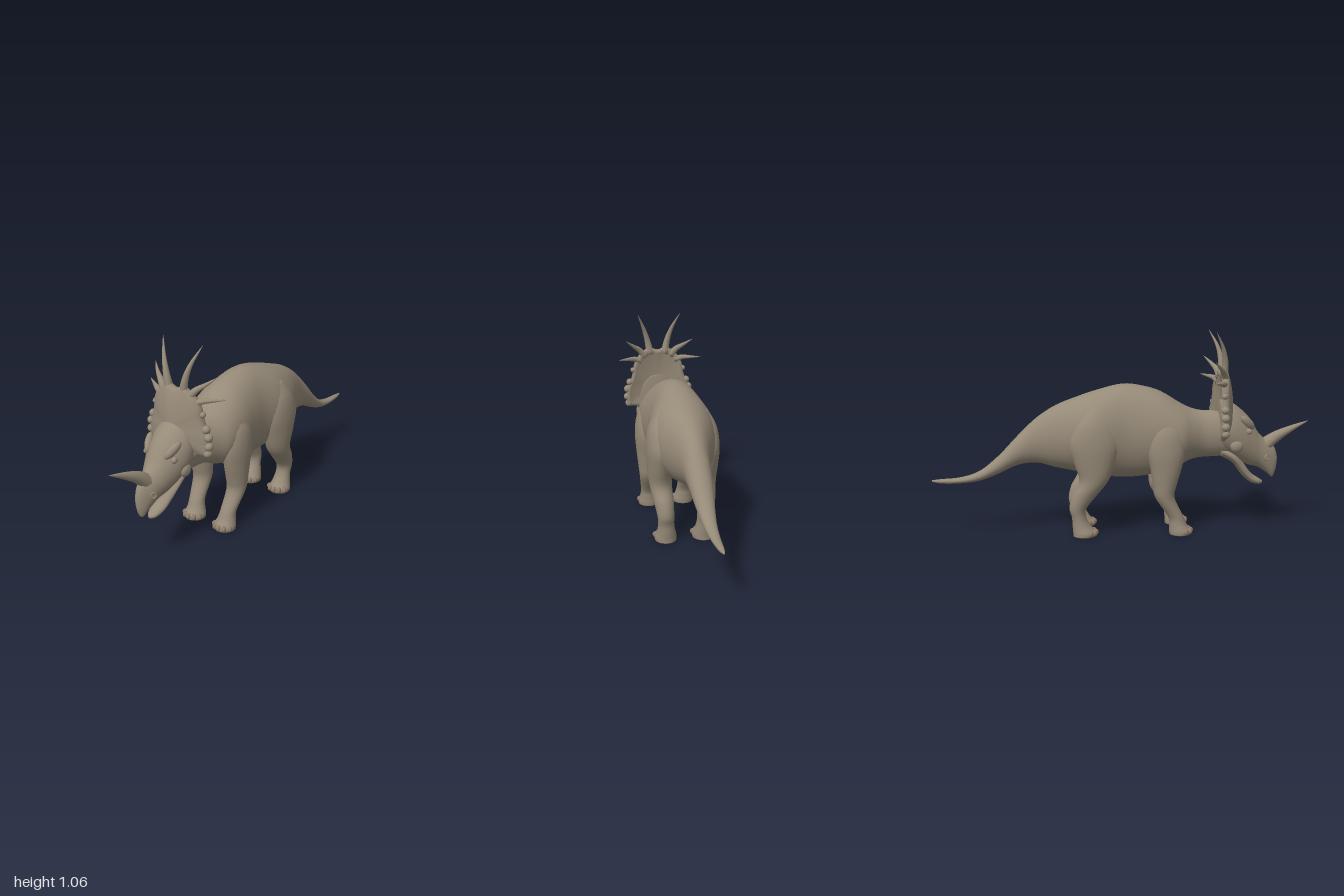
import * as THREE from 'three';

const hide = new THREE.MeshStandardMaterial({ color: 0x968a78 });
const clawMat = new THREE.MeshStandardMaterial({ color: 0x8c7969 });

// Catmull-Rom smoothing of a table of cross-sections
function refine(rows, steps) {
  const out = [];
  const at = i => rows[Math.max(0, Math.min(rows.length - 1, i))];
  for (let i = 0; i < rows.length - 1; i++) {
    for (let k = 0; k < steps; k++) {
      const t = k / steps;
      out.push(rows[0].map((_, c) => {
        const [a, b, d, e] = [at(i - 1)[c], at(i)[c], at(i + 1)[c], at(i + 2)[c]];
        return b + 0.5 * t * (d - a + t * (2 * a - 5 * b + 4 * d - e + t * (3 * (b - d) + e - a)));
      }));
    }
  }
  out.push(rows[rows.length - 1]);
  return out;
}

// Closed smooth skin over rings of points, with both ends capped
function skin(rings) {
  const n = rings[0].length, pos = [], idx = [];
  rings.forEach(r => r.forEach(p => pos.push(p.x, p.y, p.z)));
  for (let i = 0; i < rings.length - 1; i++) {
    for (let j = 0; j < n; j++) {
      const a = i * n + j, b = i * n + (j + 1) % n;
      idx.push(a, b, b + n, a, b + n, a + n);
    }
  }
  [0, rings.length - 1].forEach((ri, end) => {
    const c = rings[ri].reduce((s, p) => s.add(p), new THREE.Vector3()).divideScalar(n);
    const ci = pos.length / 3;
    pos.push(c.x, c.y, c.z);
    for (let j = 0; j < n; j++) {
      const a = ri * n + j, b = ri * n + (j + 1) % n;
      if (end) idx.push(a, b, ci); else idx.push(b, a, ci);
    }
  });
  const g = new THREE.BufferGeometry();
  g.setAttribute('position', new THREE.Float32BufferAttribute(pos, 3));
  g.setIndex(idx);
  g.computeVertexNormals();
  return g;
}

const ring = (n, f) => Array.from({ length: n }, (_, j) => f(j / n * Math.PI * 2));

// Rows of [z, top, bottom, half width]
const loftZ = rows => skin(refine(rows, 4).map(([z, top, bot, w]) =>
  ring(28, a => new THREE.Vector3(w * Math.cos(a), (top + bot) / 2 + (top - bot) / 2 * Math.sin(a), z))));

// Rows of [y, x, z, radius x, radius z], rising
const loftY = (rows, side) => skin(refine(rows, 4).map(([y, x, z, rx, rz]) =>
  ring(20, a => new THREE.Vector3(side * x + rx * Math.sin(a), y, z + rz * Math.cos(a)))));

// Curved horn tapering to a point
function horn(points, r) {
  const curve = new THREE.CatmullRomCurve3(points.map(p => new THREE.Vector3(...p)));
  const n = 12, f = curve.computeFrenetFrames(n);
  return skin(Array.from({ length: n + 1 }, (_, i) => {
    const c = curve.getPointAt(i / n), rad = r * Math.pow(1 - i / n, 0.9) + 0.0008;
    return ring(10, a => c.clone()
      .addScaledVector(f.normals[i], rad * Math.cos(a))
      .addScaledVector(f.binormals[i], rad * Math.sin(a)));
  }));
}

export function createModel() {
  const model = new THREE.Group();
  const add = (name, geo, mat = hide) => {
    const m = new THREE.Mesh(geo, mat);
    m.name = name;
    model.add(m);
    return m;
  };
  const blob = (name, p, s, mat) => {
    const m = add(name, new THREE.SphereGeometry(1, 14, 10), mat);
    m.position.set(...p);
    m.scale.set(...s);
    return m;
  };

  // Tail, trunk and neck in one skin
  add('body', loftZ([
    [-1, 0.289, 0.28, 0.004], [-0.95, 0.294, 0.27, 0.014], [-0.85, 0.302, 0.27, 0.023],
    [-0.75, 0.335, 0.283, 0.032], [-0.65, 0.415, 0.32, 0.046], [-0.55, 0.52, 0.365, 0.06],
    [-0.45, 0.615, 0.375, 0.074], [-0.35, 0.68, 0.35, 0.11], [-0.25, 0.72, 0.33, 0.15],
    [-0.13, 0.76, 0.305, 0.172], [0, 0.79, 0.292, 0.15], [0.1, 0.78, 0.296, 0.154],
    [0.2, 0.75, 0.315, 0.163], [0.3, 0.69, 0.35, 0.158], [0.36, 0.66, 0.38, 0.122],
    [0.42, 0.645, 0.392, 0.092], [0.5, 0.64, 0.395, 0.085], [0.56, 0.62, 0.4, 0.08]]));

  // Skull with hooked beak, and open lower jaw
  add('skull', loftZ([
    [0.51, 0.7, 0.44, 0.1], [0.57, 0.69, 0.405, 0.115], [0.63, 0.65, 0.37, 0.104],
    [0.68, 0.6, 0.345, 0.084], [0.73, 0.52, 0.332, 0.062], [0.78, 0.475, 0.3, 0.046],
    [0.81, 0.455, 0.275, 0.032], [0.828, 0.42, 0.31, 0.018], [0.835, 0.39, 0.35, 0.006]]));
  add('lowerJaw', loftZ([
    [0.52, 0.46, 0.4, 0.06], [0.59, 0.43, 0.36, 0.07], [0.64, 0.375, 0.295, 0.055],
    [0.69, 0.305, 0.25, 0.04], [0.735, 0.272, 0.237, 0.027], [0.757, 0.257, 0.242, 0.01]]));
  add('noseHorn', horn([[0, 0.43, 0.745], [0, 0.485, 0.81], [0, 0.53, 0.89], [0, 0.58, 1]], 0.042));

  // Dished frill: outline scaled about its middle, back face then front face
  const half = [[0.09, 0.49], [0.13, 0.52], [0.18, 0.53], [0.186, 0.58], [0.18, 0.63],
    [0.162, 0.67], [0.147, 0.72], [0.14, 0.765], [0.117, 0.81], [0.09, 0.835], [0.05, 0.862]];
  const outline = new THREE.CatmullRomCurve3(
    [[0, 0.47], ...half, [0, 0.846], ...half.map(([x, y]) => [-x, y]).reverse()]
      .map(([x, y]) => new THREE.Vector3(x, y, 0)), true).getPoints(96).slice(0, 96);
  const steps = [0.02, 0.3, 0.55, 0.75, 0.88, 0.96];
  const frillRing = (t, offset) => outline.map(p => {
    const x = p.x * t, y = 0.66 + (p.y - 0.66) * t;
    return new THREE.Vector3(x, y, 0.533 - 0.7 * x * x + offset);
  });
  add('frill', skin([
    ...steps.map(t => frillRing(t, 0.002 - 0.02 * t * t)),
    frillRing(1, 0),
    ...steps.map(t => frillRing(t, 0.014 + 0.04 * (1 - t * t))).reverse()]));

  for (const s of [1, -1]) {
    const side = s > 0 ? 'left' : 'right';
    const flip = pts => pts.map(([x, y, z]) => [s * x, y, z]);

    // Frill spikes, longest at the top
    add(side + 'UpperSpike', horn(flip([[0.042, 0.82, 0.53], [0.055, 0.89, 0.533], [0.08, 0.97, 0.518], [0.12, 1.06, 0.475]]), 0.022));
    add(side + 'MiddleSpike', horn(flip([[0.075, 0.81, 0.53], [0.105, 0.848, 0.518], [0.145, 0.878, 0.495], [0.19, 0.914, 0.46]]), 0.021));
    add(side + 'LowerSpike', horn(flip([[0.1, 0.785, 0.525], [0.14, 0.8, 0.51], [0.18, 0.805, 0.485], [0.235, 0.81, 0.45]]), 0.018));

    // Knobs down the frill edge
    [[0.145, 0.735, 0.015], [0.165, 0.665, 0.02], [0.178, 0.625, 0.021], [0.18, 0.58, 0.021], [0.172, 0.542, 0.021]]
      .forEach(([x, y, r]) => blob(side + 'FrillKnob', [s * x, y, 0.518], [r, r, r * 1.1]));

    // Face details
    const brow = blob(side + 'Brow', [s * 0.074, 0.585, 0.655], [0.02, 0.024, 0.055]);
    brow.rotation.set(0.75, -s * 0.35, 0);
    blob(side + 'Eye', [s * 0.088, 0.54, 0.66], [0.013, 0.016, 0.018]);
    blob(side + 'Cheek', [s * 0.095, 0.465, 0.595], [0.022, 0.035, 0.035]);
    const nostril = add(side + 'Nostril', new THREE.TorusGeometry(0.014, 0.005, 8, 16));
    nostril.position.set(s * 0.047, 0.39, 0.772);
    nostril.rotation.y = s * 1.15;

    // Legs
    add(side + 'FrontLeg', loftY([
      [0, 0.1, 0.3, 0.056, 0.056], [0.02, 0.1, 0.3, 0.058, 0.058], [0.055, 0.102, 0.287, 0.048, 0.046],
      [0.1, 0.105, 0.273, 0.043, 0.041], [0.2, 0.112, 0.217, 0.051, 0.051], [0.27, 0.115, 0.215, 0.056, 0.063],
      [0.35, 0.12, 0.22, 0.059, 0.08], [0.45, 0.125, 0.22, 0.06, 0.098], [0.55, 0.118, 0.22, 0.055, 0.085],
      [0.63, 0.1, 0.22, 0.03, 0.045]], s));
    add(side + 'HindLeg', loftY([
      [0, 0.1, -0.205, 0.056, 0.06], [0.02, 0.1, -0.205, 0.058, 0.06], [0.055, 0.1, -0.22, 0.048, 0.048],
      [0.1, 0.102, -0.233, 0.042, 0.038], [0.15, 0.105, -0.239, 0.044, 0.045], [0.22, 0.11, -0.205, 0.052, 0.064],
      [0.3, 0.117, -0.155, 0.059, 0.076], [0.4, 0.122, -0.152, 0.064, 0.108], [0.5, 0.122, -0.155, 0.067, 0.13],
      [0.6, 0.11, -0.15, 0.064, 0.1], [0.68, 0.09, -0.14, 0.04, 0.05]], s));

    // Toes fanned around the front of each foot
    [['Front', 0.3], ['Hind', -0.2]].forEach(([leg, z]) => {
      for (let i = -2; i <= 2; i++) {
        const a = i * 0.55;
        const toe = blob(`${side}${leg}Toe`, [s * 0.1 + 0.05 * Math.sin(a), 0.018, z + 0.05 * Math.cos(a)],
          [0.013, 0.018, 0.02], clawMat);
        toe.rotation.y = a;
      }
    });
  }
  return model;
}
